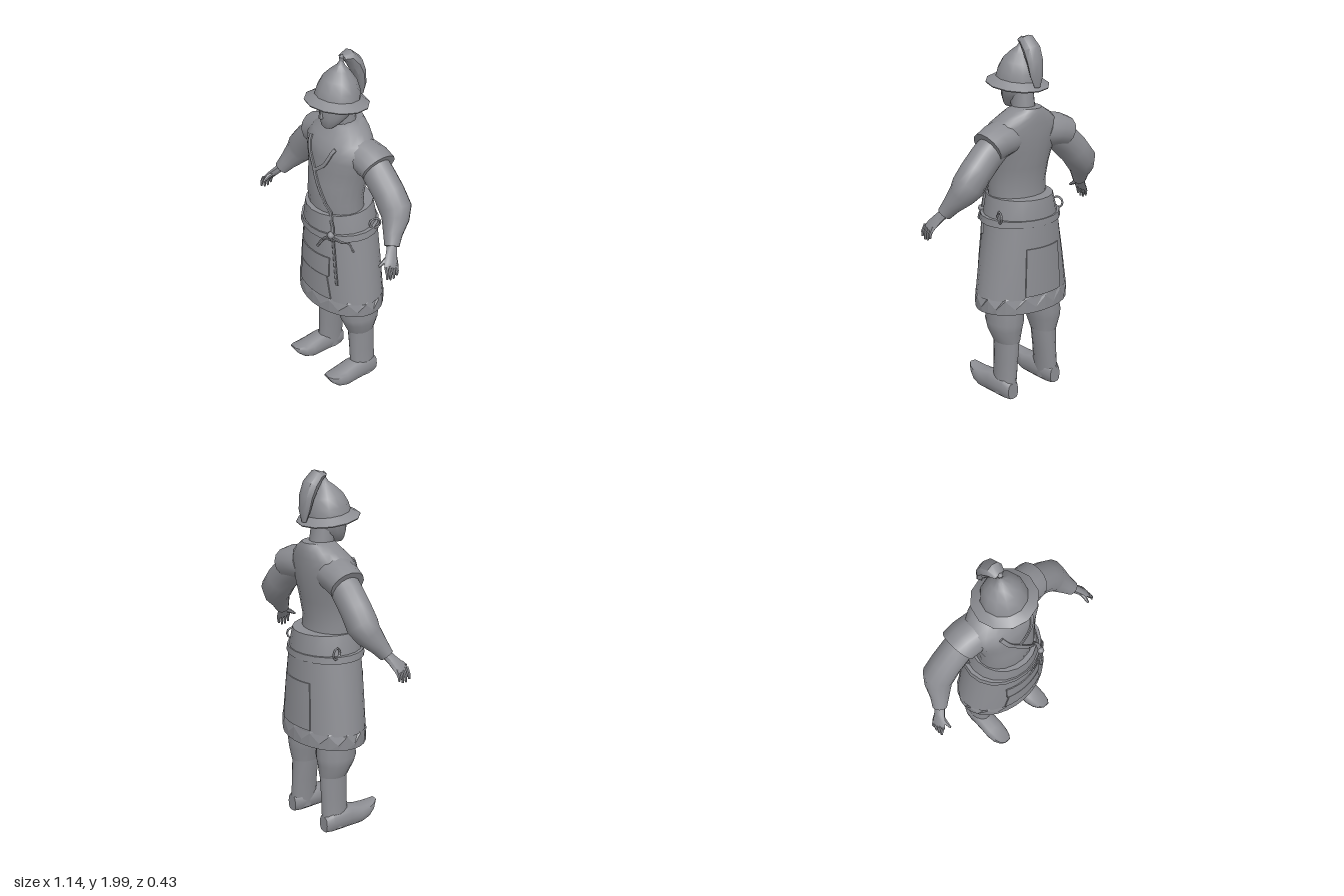
import * as THREE from 'three';
import { mergeVertices, toCreasedNormals } from 'three/addons/utils/BufferGeometryUtils.js';

const V = (a) => new THREE.Vector3(...a);

// Closed skin through elliptical rings [x, y, z, ra, rb]: ra lies along ref, rb across it.
function loft(rows, { n = 12, ref = [1, 0, 0], dir = null, pow = 1, crease = 0.8 } = {}) {
  const pos = [], idx = [];
  const centres = rows.map((r) => V(r.slice(0, 3)));
  const bend = (c) => Math.sign(c) * Math.abs(c) ** pow;
  rows.forEach((r, i) => {
    const t = dir ? V(dir).normalize()
      : centres[Math.min(i + 1, rows.length - 1)].clone().sub(centres[Math.max(i - 1, 0)]).normalize();
    const u = V(ref).addScaledVector(t, -V(ref).dot(t)).normalize();
    const v = t.clone().cross(u);
    for (let k = 0; k < n; k++) {
      const a = (k / n) * Math.PI * 2;
      const p = centres[i].clone().addScaledVector(u, bend(Math.cos(a)) * r[3]).addScaledVector(v, bend(Math.sin(a)) * r[4]);
      pos.push(p.x, p.y, p.z);
    }
  });
  for (let i = 0; i < rows.length - 1; i++) {
    for (let k = 0; k < n; k++) {
      const a = i * n + k, b = i * n + ((k + 1) % n);
      idx.push(a, b, b + n, a, b + n, a + n);
    }
  }
  const last = (rows.length - 1) * n;
  for (let k = 1; k < n - 1; k++) idx.push(0, k + 1, k, last, last + k, last + k + 1);
  // Turn the faces outward whatever way the rings run
  let volume = 0;
  const at = (i) => V(pos.slice(i * 3, i * 3 + 3));
  for (let i = 0; i < idx.length; i += 3) volume += at(idx[i]).dot(at(idx[i + 1]).cross(at(idx[i + 2])));
  if (volume < 0) idx.reverse();
  const g = new THREE.BufferGeometry();
  g.setAttribute('position', new THREE.Float32BufferAttribute(pos, 3));
  g.setIndex(idx);
  return toCreasedNormals(g, crease);
}

function mirror(geometry) {
  let g = geometry.clone().scale(-1, 1, 1);
  if (!g.index) g = mergeVertices(g);
  g.setIndex(Array.from(g.index.array).reverse());
  return g;
}

// Upright profiles: [y, centre z, half width, half depth]
const TORSO = [[1.1, 0.015, 0.17, 0.135], [1.2, 0.025, 0.172, 0.135], [1.3, 0.012, 0.18, 0.14], [1.38, 0, 0.2, 0.14],
  [1.45, -0.005, 0.22, 0.143], [1.5, -0.012, 0.225, 0.138], [1.54, -0.025, 0.2, 0.125], [1.58, -0.042, 0.145, 0.108],
  [1.605, -0.05, 0.1, 0.095], [1.62, -0.06, 0.075, 0.08]];
const WAIST = [[1.0, -0.005, 0.21, 0.192], [1.04, -0.005, 0.205, 0.192], [1.14, 0, 0.18, 0.183]];
const SASH = [[0.998, -0.005, 0.232, 0.2], [1.035, -0.005, 0.226, 0.198]];
const SKIRT = [[0.6, -0.015, 0.282, 0.195], [0.8, -0.012, 0.25, 0.193], [1.0, -0.01, 0.213, 0.19]];
const HEAD = [[1.603, 0.068, 0.03, 0.028], [1.62, 0.055, 0.046, 0.052], [1.66, 0.028, 0.068, 0.087],
  [1.7, 0.015, 0.077, 0.102], [1.76, 0.01, 0.08, 0.105], [1.84, 0.008, 0.06, 0.07]];
const upright = (table, n = 20) => loft(table.map(([y, z, a, b]) => [0, y, z, a, b]), { n, dir: [0, 1, 0] });

// Depth of a profile's front (side 1) or back (side -1) at x, y
function depth(table, x, y, side = 1) {
  for (let i = 0; i < table.length - 1; i++) {
    const a = table[i], b = table[i + 1];
    if (y < a[0] || y > b[0]) continue;
    const [, z, rx, rz] = a.map((v, k) => v + ((b[k] - v) * (y - a[0])) / (b[0] - a[0]));
    return z + side * rz * Math.sqrt(Math.max(0, 1 - (x / rx) ** 2));
  }
  return -1;
}
const frontZ = (x, y) => Math.max(...[TORSO, WAIST, SASH, SKIRT].map((t) => depth(t, x, y)));

// Flat cord lying on the front of the clothes
function cord(points, width) {
  const curve = new THREE.CatmullRomCurve3(points.map(([x, y]) => V([x, y, 0])));
  const rows = curve.getPoints(14).map((p) => [p.x, p.y, frontZ(p.x, p.y) + 0.005, 0.007, width]);
  return loft(rows, { n: 6, ref: [0, 0, 1] });
}

// Thin cloth panel following the skirt
function panel(halfTop, halfBottom, yTop, yBottom, side, lift) {
  const g = new THREE.BoxGeometry(1, 1, 0.006, 8, 4, 1);
  const p = g.attributes.position;
  for (let i = 0; i < p.count; i++) {
    const t = p.getY(i) + 0.5;
    const y = yBottom + (yTop - yBottom) * t;
    const x = p.getX(i) * 2 * (halfBottom + (halfTop - halfBottom) * t);
    p.setXYZ(i, x, y, depth(SKIRT, x, y, side) + side * lift + p.getZ(i));
  }
  return toCreasedNormals(g, 0.8);
}

export function createModel() {
  const model = new THREE.Group();
  const grey = new THREE.MeshStandardMaterial({ color: 0x8c8d92 });
  grey.name = 'grey';
  const add = (name, geometry) => {
    const m = new THREE.Mesh(geometry, grey);
    m.name = name;
    model.add(m);
    return m;
  };
  const pair = (name, geometry) => {
    add('left' + name, geometry);
    add('right' + name, mirror(geometry));
  };

  // Head and neck
  add('head', upright(HEAD, 14));
  add('neck', loft([[0, 1.56, -0.035, 0.066, 0.068], [0, 1.7, -0.02, 0.06, 0.065]], { dir: [0, 1, 0] }));
  add('nose', loft([[0, 1.665, 0.114, 0.015, 0.014], [0, 1.675, 0.114, 0.012, 0.016], [0, 1.72, 0.108, 0.006, 0.008]],
    { n: 6, dir: [0, 1, 0] }));

  // Brimmed helmet with spike and plume, tipped slightly back
  const helmetProfile = [[0, 0.012], [0.1, 0.012], [0.168, -0.006], [0.17, 0], [0.12, 0.032], [0.113, 0.07], [0.09, 0.122],
    [0.052, 0.165], [0.022, 0.192], [0.01, 0.215], [0.015, 0.235], [0, 0.25]].map(([r, y]) => new THREE.Vector2(r, y));
  const helmet = add('helmet', toCreasedNormals(new THREE.LatheGeometry(helmetProfile, 12), 0.75));
  helmet.position.set(0, 1.735, 0.014);
  helmet.rotation.x = -0.13;
  add('plume', loft([[0, 1.965, -0.018, 0.03, 0.012], [0, 1.965, -0.055, 0.046, 0.034], [0, 1.92, -0.095, 0.051, 0.042],
    [0, 1.86, -0.122, 0.05, 0.034], [0, 1.79, -0.135, 0.042, 0.024], [0, 1.73, -0.14, 0.018, 0.01]], { n: 8 }));

  // Robe, waistband, sash and skirt
  add('torso', upright(TORSO));
  add('waistband', upright(WAIST));
  add('sash', upright(SASH));
  add('skirt', upright(SKIRT, 24));
  add('frontPanelUpper', panel(0.12, 0.12, 0.88, 0.76, 1, 0.004));
  add('frontPanelLower', panel(0.11, 0.135, 0.76, 0.615, 1, 0.006));
  add('backPanel', panel(0.11, 0.125, 0.88, 0.615, -1, 0.004));

  // Hem with a zigzag of flat facets
  const hem = mergeVertices(upright([[0.52, -0.015, 0.281, 0.2], [0.575, -0.015, 0.286, 0.2], [0.62, -0.015, 0.27, 0.19]], 28).deleteAttribute('normal'));
  const hp = hem.attributes.position;
  for (let i = 0; i < hp.count; i++) {
    if (hp.getY(i) < 0.56 || hp.getY(i) > 0.6) continue;
    const k = Math.round((Math.atan2((hp.getZ(i) + 0.015) / 0.2, hp.getX(i) / 0.286) / Math.PI) * 14);
    hp.setY(i, k % 2 ? 0.6 : 0.55);
  }
  const facets = hem.toNonIndexed();
  facets.computeVertexNormals();
  add('hem', facets);

  // Crossing strap, knot and hanging ends
  add('strap', cord([[-0.105, 1.52], [-0.075, 1.45], [-0.02, 1.36], [0.06, 1.23], [0.125, 1.1], [0.135, 1.03]], 0.013));
  add('strapBranch', cord([[-0.02, 1.36], [0.06, 1.43], [0.1, 1.52]], 0.011));
  add('cordLong', cord([[0.13, 1.03], [0.145, 0.9], [0.165, 0.72]], 0.01));
  add('cordInner', cord([[0.13, 1.03], [0.085, 0.99], [0.045, 0.93]], 0.008));
  add('cordOuter', cord([[0.13, 1.03], [0.18, 1.0], [0.21, 0.93]], 0.008));
  add('knot', new THREE.SphereGeometry(0.02, 8, 6).translate(0.133, 1.035, frontZ(0.133, 1.035) + 0.003));
  pair('SashLoop', new THREE.TorusGeometry(0.03, 0.006, 5, 10).rotateY(1.2).translate(0.208, 1.055, -0.08));

  // Cap sleeves, puffed sleeves and cuffs
  pair('CapSleeve', loft([[0.11, 1.475, -0.03, 0.1, 0.105], [0.2, 1.46, -0.045, 0.095, 0.105], [0.263, 1.438, -0.052, 0.088, 0.1]],
    { n: 14, ref: [0, 1, 0], dir: [0.89, -0.46, 0] }));
  pair('Sleeve', loft([[0.2, 1.45, -0.05, 0.08, 0.085], [0.275, 1.39, -0.052, 0.082, 0.086], [0.345, 1.325, -0.055, 0.082, 0.087],
    [0.4, 1.258, -0.055, 0.085, 0.088], [0.425, 1.215, -0.035, 0.072, 0.072], [0.458, 1.155, 0.008, 0.05, 0.05],
    [0.485, 1.108, 0.035, 0.038, 0.04]], { n: 14, ref: [0, 0, 1] }));

  // Hands with curled fingers
  pair('Palm', loft([[0.475, 1.125, 0.025, 0.027, 0.024], [0.507, 1.085, 0.055, 0.032, 0.022], [0.535, 1.05, 0.078, 0.042, 0.016],
    [0.548, 1.03, 0.086, 0.042, 0.012]], { n: 8, ref: [0, 0, 1] }));
  for (let f = 0; f < 4; f++) {
    const z = 0.055 + f * 0.021, drop = f === 0 || f === 3 ? 0.012 : 0;
    pair('Finger' + (f + 1), loft([[0.543, 1.045, z, 0.011, 0.011], [0.56, 1.01, z + 0.004, 0.01, 0.009],
      [0.561, 0.972 + drop, z + 0.006, 0.006, 0.006]], { n: 6, ref: [0, 0, 1] }));
  }
  pair('Thumb', loft([[0.51, 1.08, 0.065, 0.014, 0.014], [0.515, 1.06, 0.11, 0.012, 0.012], [0.512, 1.04, 0.142, 0.006, 0.006]],
    { n: 6, ref: [0, 1, 0] }));

  // Baggy trousers and boots with upturned toes
  const up = { n: 14, dir: [0, 1, 0] };
  pair('Trouser', loft([[0.128, 0.62, -0.025, 0.1, 0.11], [0.128, 0.52, -0.027, 0.098, 0.114], [0.137, 0.44, -0.032, 0.098, 0.117],
    [0.14, 0.4, -0.037, 0.09, 0.106], [0.135, 0.325, -0.048, 0.066, 0.083]], up));
  pair('BootShaft', loft([[0.157, 0.02, -0.05, 0.054, 0.08], [0.15, 0.11, -0.05, 0.052, 0.08], [0.144, 0.2, -0.05, 0.056, 0.079],
    [0.135, 0.34, -0.048, 0.064, 0.08]], up));
  pair('BootFoot', loft([[0.157, 0.046, -0.128, 0.046, 0.035], [0.157, 0.058, -0.09, 0.058, 0.054], [0.158, 0.062, 0.03, 0.06, 0.058],
    [0.16, 0.055, 0.1, 0.05, 0.06], [0.162, 0.063, 0.15, 0.04, 0.054], [0.163, 0.083, 0.19, 0.024, 0.04], [0.163, 0.107, 0.215, 0.007, 0.02]],
  { n: 12, ref: [0, 1, 0], dir: [0, 0, 1], pow: 0.65 }));

  return model;
}
